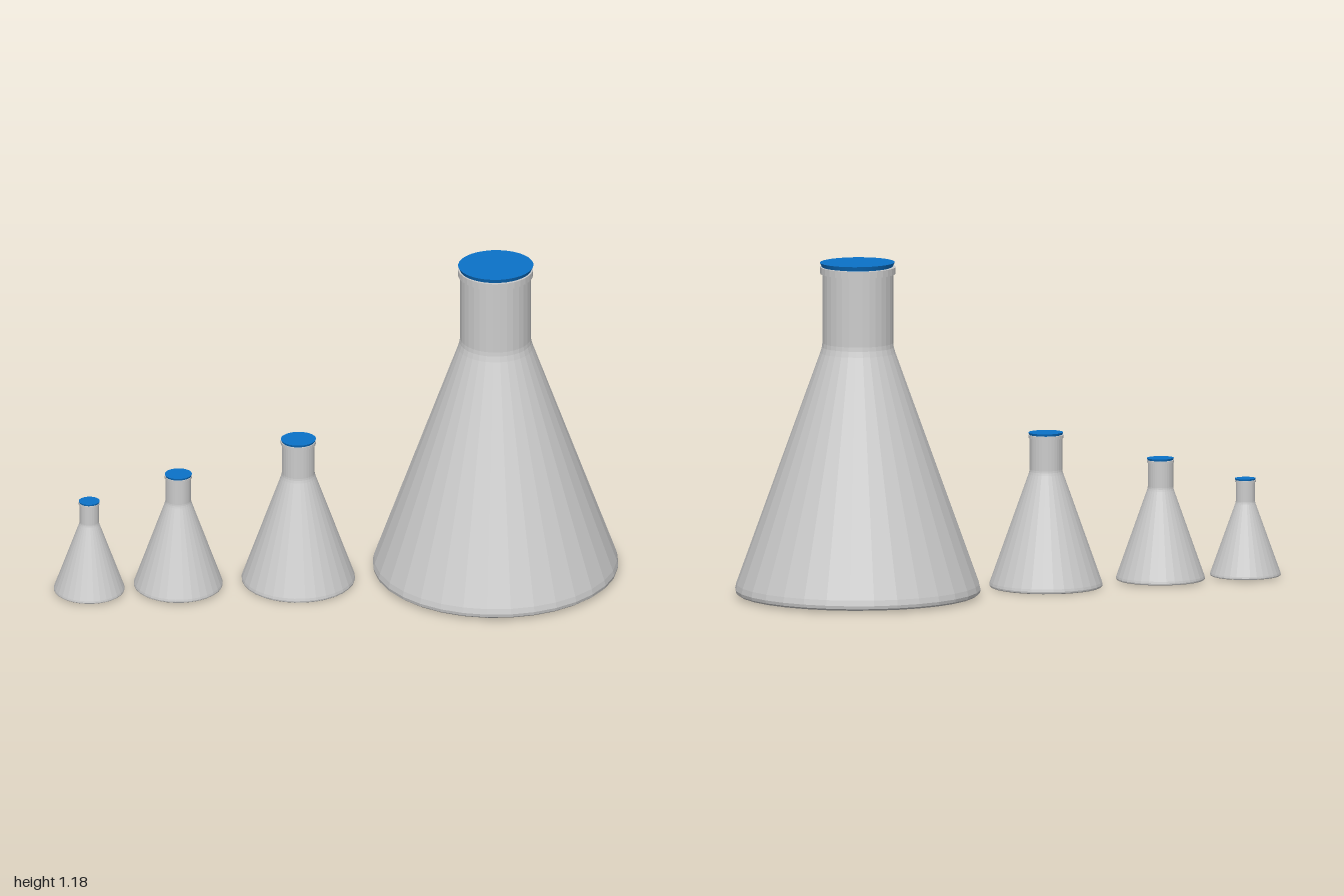
import * as THREE from 'three';

const SIDES = 32;
const glass = new THREE.MeshStandardMaterial({ color: 0xcccccc, flatShading: true, side: THREE.DoubleSide });
const blue = new THREE.MeshStandardMaterial({ color: 0x0b72c8 });

// x: centre, y: underside, r: base radius, neck: neck radius, lip: rim radius,
// shoulder: height where the neck starts, rim: top of the glass, top: top of the stopper
const flasks = [
  { name: 'tinyFlask', x: -0.875, y: 0.005, r: 0.125, neck: 0.034, lip: 0.037, shoulder: 0.265, rim: 0.344, top: 0.35 },
  { name: 'smallFlask', x: -0.559, y: 0.005, r: 0.157, neck: 0.045, lip: 0.048, shoulder: 0.33, rim: 0.43, top: 0.437 },
  { name: 'mediumFlask', x: -0.133, y: 0, r: 0.2, neck: 0.058, lip: 0.062, shoulder: 0.41, rim: 0.54, top: 0.548 },
  { name: 'largeFlask', x: 0.567, y: 0.007, r: 0.433, neck: 0.125, lip: 0.133, shoulder: 0.885, rim: 1.17, top: 1.185 },
];

function makeFlask(f) {
  const flask = new THREE.Group();
  flask.name = f.name;
  const lipBase = f.rim - f.lip * 0.18;
  const inner = f.neck * 0.95;

  // glass: closed base, rounded foot, cone, soft shoulder, neck, rim and inner neck wall
  const profile = [
    [0, f.y],
    [f.r * 0.975, f.y],
    [f.r * 0.995, f.y + f.r * 0.015],
    [f.r, f.y + f.r * 0.04],
    [f.r * 0.99, f.y + f.r * 0.085],
    [f.neck * 1.06, f.shoulder - f.neck * 0.16],
    [f.neck * 1.015, f.shoulder],
    [f.neck, f.shoulder + f.neck * 0.12],
    [f.neck, lipBase],
    [f.lip, lipBase],
    [f.lip, f.rim],
    [inner, f.rim],
    [inner, f.shoulder],
  ].map(([r, y]) => new THREE.Vector2(r, y));
  const body = new THREE.Mesh(new THREE.LatheGeometry(profile, SIDES), glass);
  body.name = 'glassBody';
  flask.add(body);

  // stopper: slightly oval tapered cap with a plug inside the neck
  const stopper = new THREE.Group();
  stopper.name = 'stopper';
  const capHeight = f.top - f.rim;
  const cap = new THREE.Mesh(new THREE.CylinderGeometry(f.lip, f.lip * 0.95, capHeight, SIDES), blue);
  cap.name = 'stopperCap';
  cap.position.y = f.rim + capHeight / 2;
  const plugHeight = f.neck * 0.8;
  const plug = new THREE.Mesh(new THREE.CylinderGeometry(inner * 0.94, inner * 0.85, plugHeight, SIDES), blue);
  plug.name = 'stopperPlug';
  plug.position.y = f.rim - plugHeight / 2;
  stopper.add(cap, plug);
  stopper.scale.z = 0.92;
  stopper.position.z = f.lip * 0.045;
  flask.add(stopper);

  flask.position.x = f.x;
  return flask;
}

export function createModel() {
  const model = new THREE.Group();
  model.name = 'flaskSet';
  for (const f of flasks) model.add(makeFlask(f));
  return model;
}
